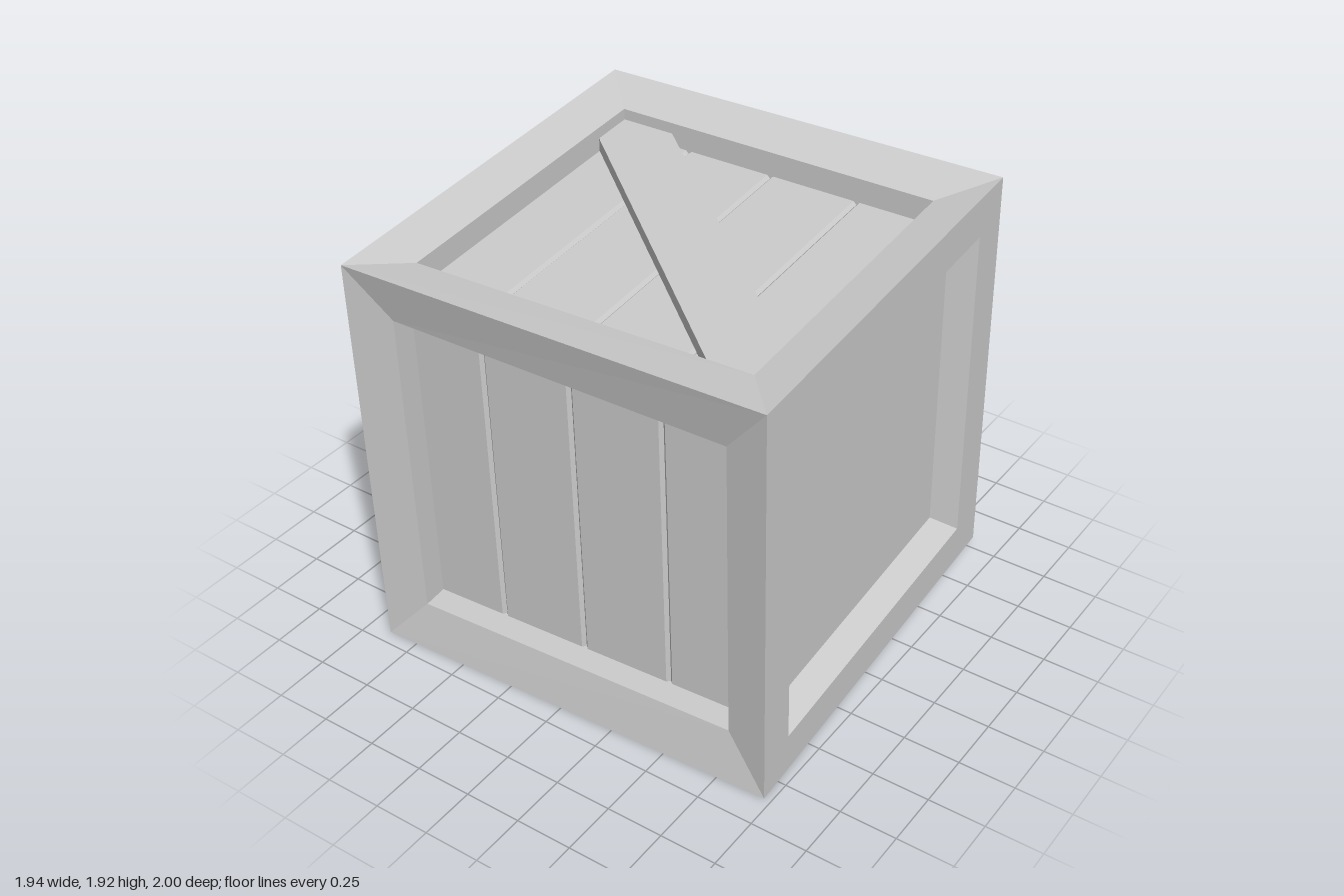
import * as THREE from 'three';

const HALF = 0.931;        // half the crate's edge
const SLOPE = 0.045;       // how far the planked frames slope inwards
const PLANK_DEPTH = 0.155; // how far the planks sit behind the outer edge
const PANEL_DEPTH = 0.115; // how far the flat side panels sit behind it
const BRACE_THICKNESS = 0.06;
const material = new THREE.MeshStandardMaterial({ color: 0xcccccc, flatShading: true });

function addMesh(parent, geometry, name) {
  const mesh = new THREE.Mesh(geometry, material);
  mesh.name = name;
  parent.add(mesh);
  return mesh;
}

// Four corners, counter-clockwise, with separate half heights at each end
function corners(halfWidth, leftHeight, rightHeight, z) {
  return [
    [-halfWidth, -leftHeight, z], [halfWidth, -rightHeight, z],
    [halfWidth, rightHeight, z], [-halfWidth, leftHeight, z],
  ];
}

// Joins successive four-cornered loops, from the outer edge inwards
function loopStrip(loops) {
  const points = [];
  for (let k = 0; k < loops.length - 1; k++) {
    for (let i = 0; i < 4; i++) {
      const j = (i + 1) % 4;
      const [a, b, c, d] = [loops[k][i], loops[k][j], loops[k + 1][j], loops[k + 1][i]];
      points.push(...a, ...b, ...c, ...a, ...c, ...d);
    }
  }
  const geometry = new THREE.BufferGeometry();
  geometry.setAttribute('position', new THREE.Float32BufferAttribute(points, 3));
  geometry.computeVertexNormals();
  return geometry;
}

// Upright board with chamfered front edges, leaving V grooves between boards
function plankGeometry(x0, x1) {
  const c = 0.014, t = 0.04, length = 1.46;
  const profile = new THREE.Shape([
    [x0, t], [x0, c], [x0 + c, 0], [x1 - c, 0], [x1, c], [x1, t],
  ].map(([x, y]) => new THREE.Vector2(x, y)));
  return new THREE.ExtrudeGeometry(profile, { depth: length, bevelEnabled: false })
    .translate(0, 0, -length / 2)
    .rotateX(-Math.PI / 2);
}

// Face with a sloping frame, a slightly tapered opening and four planks
function plankFace(name) {
  const face = new THREE.Group();
  face.name = name;
  addMesh(face, loopStrip([
    corners(HALF, HALF, HALF, HALF),
    corners(0.742, 0.717, 0.695, HALF - SLOPE),
    corners(0.742, 0.717, 0.695, HALF - PLANK_DEPTH - 0.015),
  ]), 'frame');
  const edges = [-0.76, -0.415, -0.012, 0.398, 0.76];
  for (let i = 0; i < 4; i++) {
    const plank = addMesh(face, plankGeometry(edges[i], edges[i + 1]), 'plank');
    plank.position.z = HALF - PLANK_DEPTH;
  }
  return face;
}

// Face with a bevelled square opening and one flat panel
function panelFace(name) {
  const face = new THREE.Group();
  face.name = name;
  addMesh(face, loopStrip([
    corners(HALF, HALF, HALF, HALF),
    corners(0.745, 0.75, 0.75, HALF),
    corners(0.7, 0.703, 0.703, HALF - PANEL_DEPTH),
  ]), 'frame');
  const panel = addMesh(face, new THREE.PlaneGeometry(1.4, 1.406), 'panel');
  panel.position.z = HALF - PANEL_DEPTH;
  return face;
}

// Diagonal board, trimmed to the corners of the opening
function brace(flip) {
  const outline = [
    [-0.746, 0.525], [0.574, -0.7], [0.745, -0.7],
    [0.745, -0.461], [-0.502, 0.717], [-0.745, 0.717],
  ].map(([x, y]) => new THREE.Vector2(x, y * flip));
  const options = { depth: BRACE_THICKNESS, bevelEnabled: false };
  return new THREE.ExtrudeGeometry(new THREE.Shape(outline), options)
    .translate(0, 0, HALF - PLANK_DEPTH);
}

export function createModel() {
  const model = new THREE.Group();
  model.name = 'crate';
  const crate = new THREE.Group();
  crate.name = 'crateBody';
  model.add(crate);

  // Planked front and back
  for (const [name, turn] of [['front', 0], ['back', Math.PI]]) {
    const face = plankFace(name);
    face.rotation.y = turn;
    crate.add(face);
  }

  // Flat panelled sides
  for (const [name, side] of [['leftSide', 1], ['rightSide', -1]]) {
    const face = panelFace(name);
    face.rotation.y = side * Math.PI / 2;
    crate.add(face);
  }

  // Planked lid and base, each with a diagonal brace
  for (const [name, side] of [['lid', 1], ['base', -1]]) {
    const face = plankFace(name);
    addMesh(face, brace(side), 'brace');
    face.rotation.x = -side * Math.PI / 2;
    crate.add(face);
  }

  // The crate sits slightly askew
  crate.rotation.set(0.0325, 0.043, 0, 'YXZ');
  crate.position.y = 0.963;
  return model;
}
